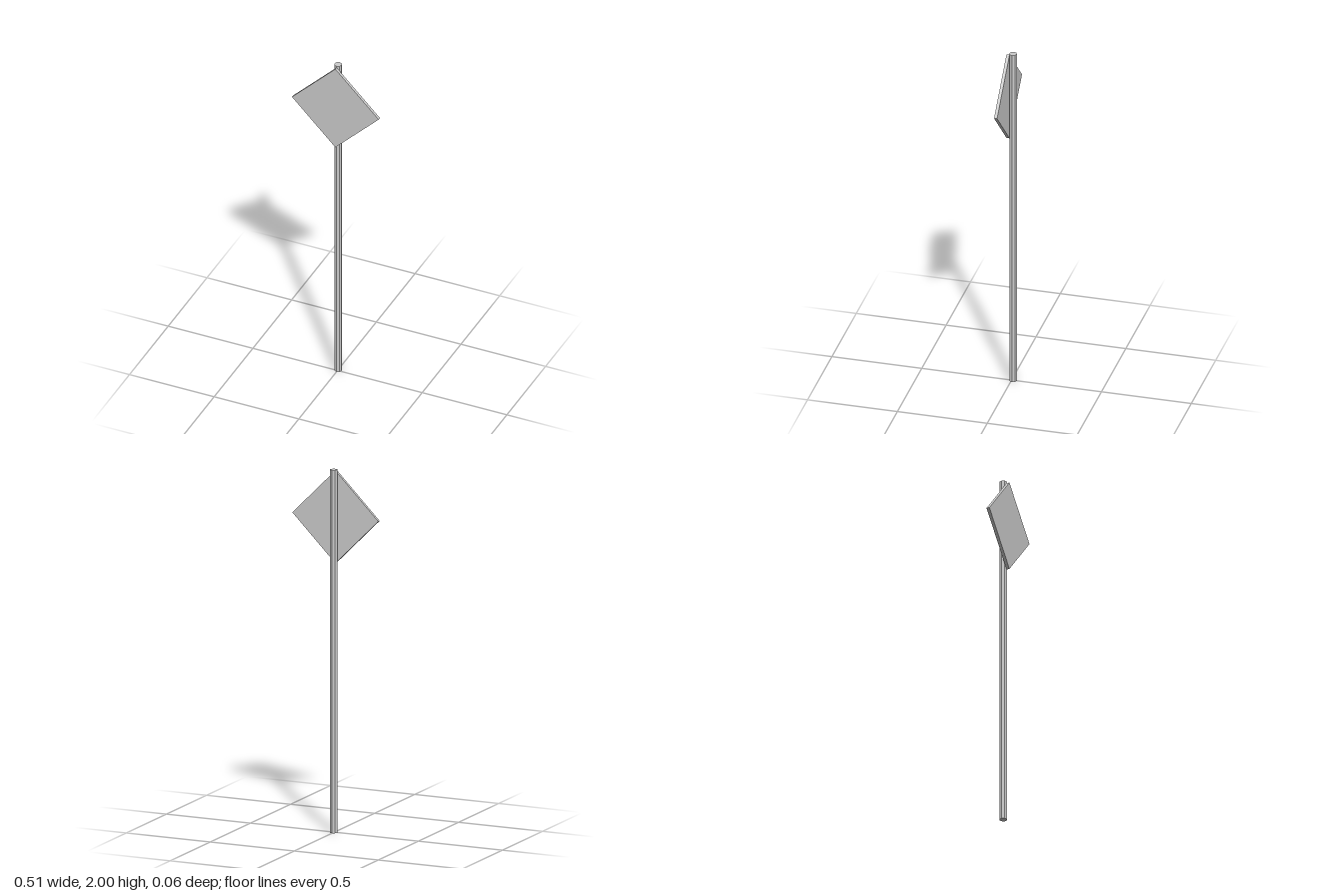
import * as THREE from 'three';

export function createModel() {
  const group = new THREE.Group();
  const material = new THREE.MeshStandardMaterial({ color: 0xcccccc, flatShading: true });

  // Eight-sided upright post
  const post = new THREE.Mesh(new THREE.CylinderGeometry(0.021, 0.021, 2, 8), material);
  post.name = 'post';
  post.position.set(0, 1, -0.008);

  // Square plate turned on its corner, fixed to the front of the post
  const side = 0.256 * Math.SQRT2;
  const plate = new THREE.Mesh(new THREE.BoxGeometry(side, side, 0.017), material);
  plate.name = 'signPlate';
  plate.position.set(0, 1.735, 0.02);
  plate.rotation.z = Math.PI / 4;

  group.add(post, plate);
  return group;
}
